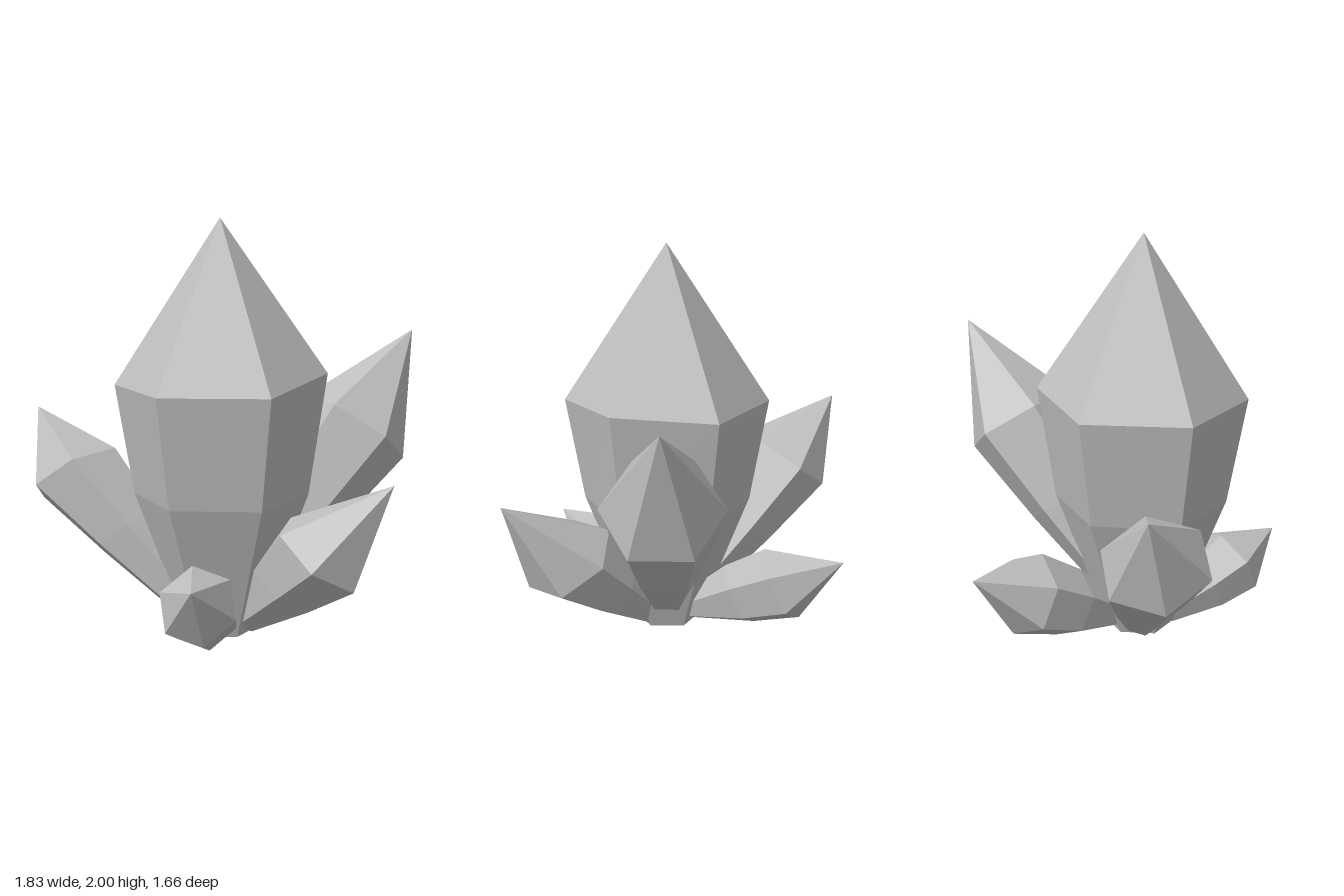
import * as THREE from 'three';

// Hexagonal crystal: small base ring, bulging middle ring, shoulder ring, tip.
// u and v are two neighbouring shoulder corners relative to the shoulder centre.
function crystalGeometry({ tip, centre, base, u, v, midSize = 0.76, baseSize = 0.36, lift = [] }) {
  const V = (a) => new THREE.Vector3(...a);
  const C = V(centre), B = V(base), T = V(tip), U = V(u), W = V(v);
  const D = W.clone().sub(U);
  const corners = [U, W, D, U.clone().negate(), W.clone().negate(), D.clone().negate()];
  const ring = (mid, size) => corners.map((c) => c.clone().multiplyScalar(size).add(mid));

  const rings = [
    ring(B, baseSize),
    ring(B.clone().lerp(C, 0.56), midSize),
    ring(C, 1),
  ];
  lift.forEach((dy, i) => { rings[2][i].y += dy; });

  const points = [];
  for (let i = 0; i < 6; i++) {
    const j = (i + 1) % 6;
    points.push(B, rings[0][j], rings[0][i]);
    for (let k = 0; k < 2; k++) {
      const lo = rings[k], hi = rings[k + 1];
      points.push(lo[i], lo[j], hi[j], lo[i], hi[j], hi[i]);
    }
    points.push(rings[2][i], rings[2][j], T);
  }
  const geometry = new THREE.BufferGeometry().setFromPoints(points);
  geometry.computeVertexNormals();
  return geometry;
}

const crystals = {
  mainCrystal: {
    tip: [-0.18, 2, 0.06], centre: [-0.18, 1.22, 0.06], base: [-0.18, 0.03, 0.06],
    u: [0, 0, 0.505], v: [0.437, 0, 0.252],
    midSize: 0.83, baseSize: 0.34, lift: [0, 0.06, 0.03, 0, 0, 0],
  },
  leftCrystal: {
    tip: [0.91, 1.44, 0.06], centre: [0.565, 0.96, 0.06], base: [-0.15, 0.13, 0.06],
    u: [0, 0, 0.29], v: [0.205, -0.15, 0.145],
  },
  backRightCrystal: {
    tip: [-0.8, 1.04, -0.83], centre: [-0.675, 0.725, -0.575], base: [-0.25, 0.08, -0.02],
    u: [-0.245, -0.025, 0.06], v: [-0.1, 0.115, 0.2],
  },
  backCrystal: {
    tip: [0.16, 0.5, -0.81], centre: [0.075, 0.34, -0.52], base: [-0.12, 0.1, -0.05],
    u: [-0.02, 0.18, 0.09], v: [0.155, 0.105, 0.08], midSize: 0.84,
  },
  frontLeftCrystal: {
    tip: [0.29, 0.84, 0.83], centre: [0.097, 0.48, 0.54], base: [-0.11, 0.085, 0.14],
    u: [0.05, -0.135, 0.198], v: [0.208, -0.11, 0.018],
  },
  frontRightCrystal: {
    tip: [-0.61, 0.43, 0.65], centre: [-0.483, 0.293, 0.445], base: [-0.27, 0.058, 0.15],
    u: [-0.012, -0.163, 0.085], v: [0.145, -0.06, 0.092], midSize: 0.84,
  },
};

export function createModel() {
  const group = new THREE.Group();
  group.name = 'crystalCluster';
  const stone = new THREE.MeshStandardMaterial({ color: 0xbdbdbd, flatShading: true });
  stone.name = 'grey crystal';
  for (const [name, spec] of Object.entries(crystals)) {
    const mesh = new THREE.Mesh(crystalGeometry(spec), stone);
    mesh.name = name;
    group.add(mesh);
  }
  return group;
}
